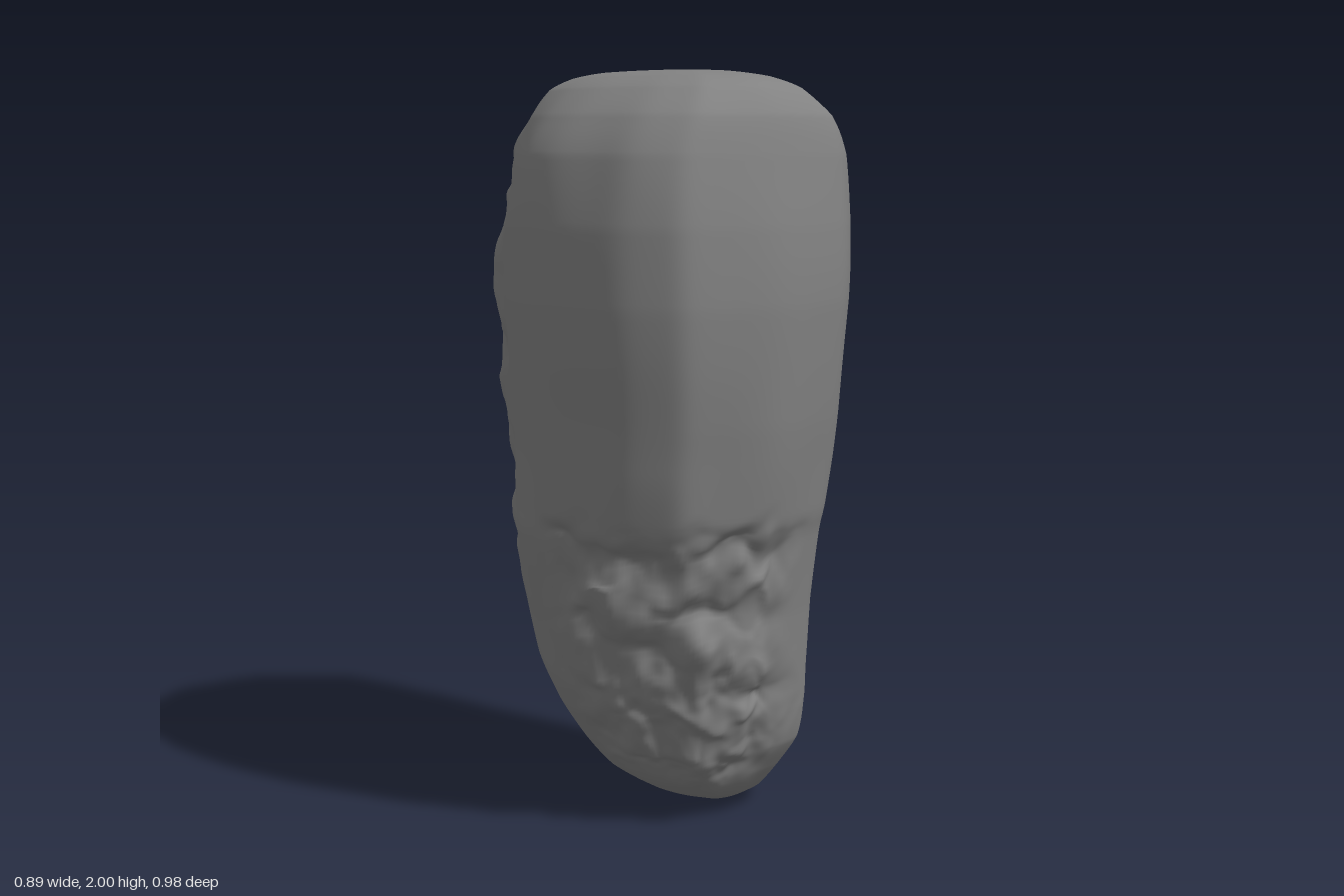
import * as THREE from 'three';
import { mergeVertices } from 'three/addons/utils/BufferGeometryUtils.js';

// Stations up the stone: y, xMin, xMax, zMin, zMax
const STATIONS = [
  [0, 0.14, 0.14, 0.02, 0.02],
  [0.02, 0.05, 0.22, -0.12, 0.11],
  [0.05, -0.03, 0.28, -0.2, 0.17],
  [0.12, -0.15, 0.33, -0.26, 0.24],
  [0.2, -0.225, 0.375, -0.31, 0.3],
  [0.3, -0.285, 0.385, -0.37, 0.332],
  [0.4, -0.32, 0.39, -0.425, 0.347],
  [0.58, -0.355, 0.395, -0.46, 0.37],
  [0.78, -0.395, 0.405, -0.47, 0.408],
  [0.86, -0.4, 0.41, -0.47, 0.43],
  [1.1, -0.415, 0.422, -0.475, 0.47],
  [1.4, -0.447, 0.44, -0.478, 0.497],
  [1.6, -0.447, 0.448, -0.475, 0.49],
  [1.78, -0.41, 0.443, -0.45, 0.465],
  [1.88, -0.345, 0.395, -0.425, 0.44],
  [1.95, -0.255, 0.3, -0.4, 0.385],
  [1.98, -0.18, 0.215, -0.34, 0.31],
  [1.995, -0.1, 0.12, -0.24, 0.2],
  [2, 0, 0, 0, 0],
];

// Facets of the rounded-square section in unit space: nx, nz, distance
const FACETS = [
  [1, 0, 1], [-1, 0, 1], [0, 1, 1], [0, -1, 1],
  [0.982, 0.188, 0.985], [0.66, 0.75, 1.025], [0.22, 0.975, 0.97], [-0.214, 0.977, 1.0],
  [-0.979, 0.204, 1.0], [-0.977, -0.211, 0.965],
  [-0.867, -0.498, 0.938], [-0.48, -0.87, 1.01], [0.6, -0.8, 1.18],
];

// Flat chops under the stone: nx, ny, nz, distance
const CHOPS = [
  [0.4, -0.61, -0.68, 0.138],
  [-0.5, -0.62, -0.6, 0.245],
  [0.5, -0.7, 0.5, 0.15],
];

const SIDES = 220, STEPS = 12;
const { smoothstep, lerp } = THREE.MathUtils;

function hash(x, y, z) {
  const s = Math.sin(x * 127.1 + y * 311.7 + z * 74.7) * 43758.5453;
  return s - Math.floor(s);
}

// Smooth value noise in -1..1
function noise(x, y, z) {
  const i = Math.floor(x), j = Math.floor(y), k = Math.floor(z);
  const ease = (t) => t * t * (3 - 2 * t);
  const u = ease(x - i), v = ease(y - j), w = ease(z - k);
  const row = (b, c) => lerp(hash(i, j + b, k + c), hash(i + 1, j + b, k + c), u);
  return 2 * lerp(lerp(row(0, 0), row(1, 0), v), lerp(row(0, 1), row(1, 1), v), w) - 1;
}

function fractal(p, f) {
  let sum = 0;
  for (let o = 0, a = 1; o < 3; o++, a *= 0.5, f *= 2) sum += a * noise(p.x * f + 9, p.y * f, p.z * f + 5);
  return sum;
}

// Smooth interpolation of one station column
function sample(t, column) {
  const last = STATIONS.length - 1;
  const i = Math.min(Math.floor(t), last - 1), f = t - i;
  const at = (k) => STATIONS[Math.min(Math.max(k, 0), last)][column];
  const a = at(i), b = at(i + 1);
  const curve = a + 0.5 * f * (b - at(i - 1) + f * (2 * at(i - 1) - 5 * a + 4 * b - at(i + 2) + f * (3 * (a - b) + at(i + 2) - at(i - 1))));
  return lerp(lerp(a, b, f), curve, 0.6);
}

// Radius of the faceted section; the right front corner is cut deeper low down
function sectionRadius(c, s, y) {
  const corner = [-0.78, 0.625, lerp(0.98, 1.075, smoothstep(y, 0.5, 1.0))];
  let sum = 0;
  for (const [nx, nz, d] of [...FACETS, corner]) {
    sum += Math.max(0, (nx * c + nz * s) / d) ** 45;
  }
  return sum ** (-1 / 45);
}

function surfacePoint(t, angle) {
  const [y, x0, x1, z0, z1] = [0, 1, 2, 3, 4].map((k) => sample(t, k));
  const c = Math.cos(angle), s = Math.sin(angle);
  const r = sectionRadius(c, s, y);
  const p = new THREE.Vector3(
    (x0 + x1) / 2 + r * c * (x1 - x0) / 2, y,
    (z0 + z1) / 2 + r * s * (z1 - z0) / 2);

  // Broken patch low on the front, with a ragged border and a slanting ledge
  const wobble = 0.07 * noise(p.x * 9, p.y * 9, p.z * 9);
  const chip = smoothstep(p.y, 0.06, 0.2) * (1 - smoothstep(p.y + wobble, 0.78, 0.86))
    * (1 - smoothstep(p.x + wobble, 0.05, 0.22)) * smoothstep(p.z, -0.12, 0.1);
  const ledge = 1 - smoothstep(p.y + 0.5 * p.x + wobble, 0.38, 0.43);
  // Rough, fractured back, wrapping further round on the right
  const back = (1 - smoothstep(p.z + wobble * 0.6 + 0.4 * Math.min(0, p.x + 0.1), -0.43, -0.35))
    * smoothstep(p.y + wobble * 2 - p.x * 0.4, 0.55, 0.95) * (1 - smoothstep(p.y, 1.86, 1.96));

  const ridges = Math.abs(fractal(p, 6)) - 0.4;
  const shallow = 0.005 * noise(p.x * 5, p.y * 4, p.z * 5) * smoothstep(p.y, 0.05, 0.2) * (1 - smoothstep(p.y, 1.85, 1.98));
  const push = shallow + chip * (0.022 * fractal(p, 8) + 0.025 * ridges - 0.012 - 0.016 * ledge)
    + back * (0.01 * fractal(p, 5) + 0.028 * ridges - 0.006);
  p.x += c * push;
  p.z += s * push;
  p.y += 0.025 * (chip + back * 0.6) * noise(p.x * 14, p.y * 14 + 3, p.z * 14);

  for (const [nx, ny, nz, d] of CHOPS) {
    const over = nx * p.x + ny * p.y + nz * p.z - d;
    if (over > 0) p.addScaledVector(new THREE.Vector3(nx, ny, nz), -over * 0.9);
  }
  p.y = Math.max(p.y, 0);
  return p;
}

export function createModel() {
  const group = new THREE.Group();
  group.name = 'standingStone';

  // Loops of points stacked from the base to the crown
  const rings = (STATIONS.length - 1) * STEPS;
  const positions = [], index = [];
  for (let j = 0; j <= rings; j++) {
    for (let i = 0; i < SIDES; i++) {
      positions.push(...surfacePoint(j / STEPS, (i / SIDES) * Math.PI * 2).toArray());
      if (j === rings) continue;
      const a = j * SIDES + i, b = j * SIDES + (i + 1) % SIDES;
      index.push(a, a + SIDES, b, b, a + SIDES, b + SIDES);
    }
  }
  let geometry = new THREE.BufferGeometry();
  geometry.setAttribute('position', new THREE.Float32BufferAttribute(positions, 3));
  geometry.setIndex(index);
  geometry = mergeVertices(geometry, 1e-5);
  geometry.computeVertexNormals();

  const stone = new THREE.Mesh(geometry, new THREE.MeshStandardMaterial({ color: 0x828282 }));
  stone.name = 'stone';
  group.add(stone);
  return group;
}
